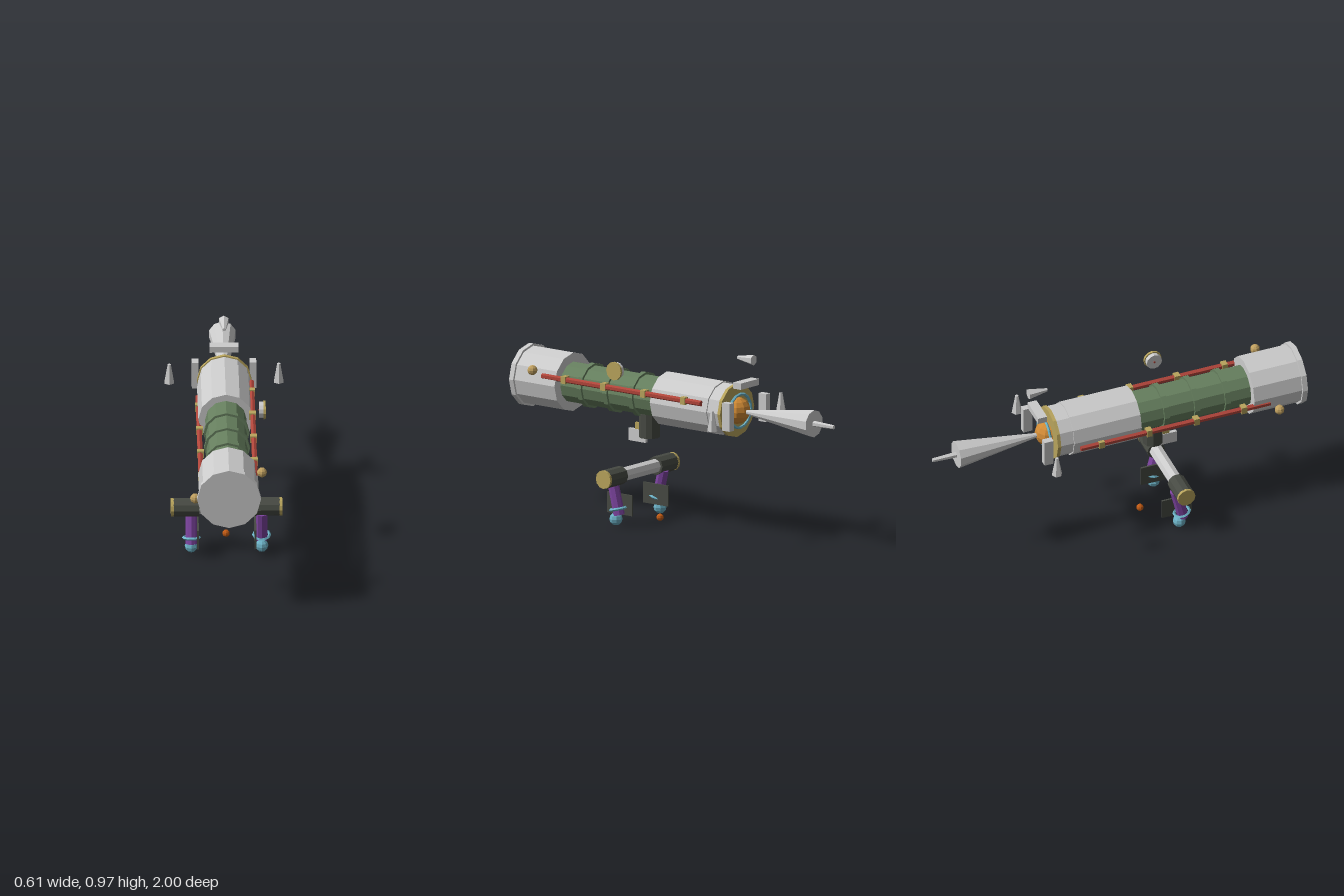
import * as THREE from 'three';

const GREY = 0xcccccc, GREEN = 0x667f5e, DARK = 0x474a43, GOLD = 0xb8a45c, RED = 0xb0453a,
  PURPLE = 0x7d44a0, BLUE = 0x6bb0c4, ORANGE = 0xd08a35, BRASS = 0xc0a060, RUST = 0xc05a14;
const AXIS_Y = 0.662;

export function createModel() {
  const root = new THREE.Group();
  const mats = {};
  const mat = (color) => (mats[color] ??= new THREE.MeshStandardMaterial({ color, flatShading: true }));

  const add = (name, geo, color, x, y, z, parent = root) => {
    const m = new THREE.Mesh(geo, mat(color));
    m.name = name;
    m.position.set(x, y, z);
    parent.add(m);
    return m;
  };
  const box = (name, w, h, d, color, x, y, z) => add(name, new THREE.BoxGeometry(w, h, d), color, x, y, z);
  const ball = (name, r, color, x, y, z, w = 8, h = 6) => add(name, new THREE.SphereGeometry(r, w, h), color, x, y, z);
  // Cylinder along z from z0 (front) to z1 (back)
  const tubeZ = (name, z0, z1, rFront, rBack, color, x = 0, y = AXIS_Y, sides = 12) =>
    add(name, new THREE.CylinderGeometry(rBack, rFront, z0 - z1, sides).rotateX(-Math.PI / 2), color, x, y, (z0 + z1) / 2);
  // Cylinder along x from x0 to x1
  const tubeX = (name, x0, x1, r, color, y, z, sides = 12) =>
    add(name, new THREE.CylinderGeometry(r, r, Math.abs(x1 - x0), sides).rotateZ(Math.PI / 2), color, (x0 + x1) / 2, y, z);

  // Main barrel
  tubeZ('frontFlange', 1.0, 0.972, 0.164, 0.164, GREY);
  tubeZ('frontHousing', 0.975, 0.71, 0.153, 0.153, GREY);
  tubeZ('midBarrel', 0.72, 0.08, 0.106, 0.106, GREEN);
  for (const z of [0.58, 0.412, 0.245]) tubeZ('barrelBand', z + 0.014, z - 0.014, 0.118, 0.118, GREEN);
  tubeZ('rearHousing', 0.095, -0.275, 0.141, 0.141, GREY);
  tubeZ('rearCollar', -0.27, -0.35, 0.134, 0.134, GREY);
  tubeZ('rearRim', -0.347, -0.365, 0.14, 0.14, GOLD);

  // Rear core, tail cone and tip
  ball('rearCore', 0.07, ORANGE, 0, AXIS_Y, -0.365, 10, 8);
  add('coreRing', new THREE.TorusGeometry(0.088, 0.008, 5, 16), BLUE, 0, AXIS_Y, -0.385);
  tubeZ('tailCone', -0.43, -0.87, 0.012, 0.071, GREY, 0, AXIS_Y, 10);
  tubeZ('tailTip', -0.865, -1.0, 0.016, 0.011, GREY, 0, AXIS_Y, 6);

  // Floating rear blocks and spikes
  box('topBlock', 0.148, 0.033, 0.05, GREY, 0, 0.81, -0.424);
  const spike = () => new THREE.CylinderGeometry(0.009, 0.028, 0.104, 6);
  for (const s of [-1, 1]) {
    box('sideBlock', 0.034, 0.146, 0.05, GREY, s * 0.148, AXIS_Y, -0.424);
    add('sideSpike', spike(), GREY, s * 0.28, 0.663, -0.427);
  }
  add('topSpike', spike().rotateX(Math.PI / 2), GREY, 0, 0.94, -0.422);

  // Conduits, clamps and knobs, set half a turn apart around the barrel
  for (const s of [-1, 1]) {
    const y = AXIS_Y + s * 0.042;
    tubeZ('conduit', 0.8, -0.24, 0.015, 0.015, RED, s * 0.137, y, 6);
    for (const z of [0.655, 0.395, 0.135, -0.128]) box('conduitClamp', 0.036, 0.038, 0.03, GOLD, s * 0.135, y, z);
    ball('frontKnob', 0.026, BRASS, s * 0.171, AXIS_Y + s * 0.073, 0.84);
  }

  // Floating dial
  tubeX('dialBody', 0.166, 0.19, 0.042, GREY, 0.811, 0.285);
  tubeX('dialFace', 0.188, 0.2, 0.048, GOLD, 0.811, 0.285);
  tubeX('dialPin', 0.163, 0.168, 0.006, RED, 0.811, 0.285, 6);

  // Post and trigger under the barrel
  add('post', new THREE.CylinderGeometry(0.053, 0.053, 0.125, 10), DARK, 0, 0.505, 0.21);
  box('triggerGuard', 0.018, 0.064, 0.11, GREY, 0, 0.442, 0.285);
  box('trigger', 0.011, 0.04, 0.034, GOLD, 0, 0.49, 0.282);

  // Cross bar
  const barY = 0.257, barZ = 0.285;
  tubeX('crossBar', -0.15, 0.15, 0.037, GREY, barY, barZ, 8);
  for (const s of [-1, 1]) {
    tubeX('barSleeve', s * 0.14, s * 0.272, 0.048, DARK, barY, barZ, 10);
    tubeX('barCap', s * 0.27, s * 0.285, 0.048, GOLD, barY, barZ, 12);

    // Leg leaning forward on one side and backward on the other
    const leg = new THREE.Group();
    leg.name = 'leg';
    leg.position.set(s * 0.18, 0.145, barZ);
    leg.rotation.x = s * 0.24;
    root.add(leg);
    add('legTube', new THREE.CylinderGeometry(0.029, 0.029, 0.18, 8), PURPLE, 0, 0, 0, leg);
    add('ankleRing', new THREE.TorusGeometry(0.041, 0.008, 4, 10).rotateX(Math.PI / 2), BLUE, 0, -0.057, 0, leg);
    ball('foot', 0.034, BLUE, s * 0.18, 0.035, barZ);
    box('shinPlate', 0.01, 0.108, 0.165, DARK, s * 0.147, 0.108, barZ);
  }

  // Small loose ball
  ball('looseBall', 0.019, RUST, 0, 0.032, 0.14);

  return root;
}
